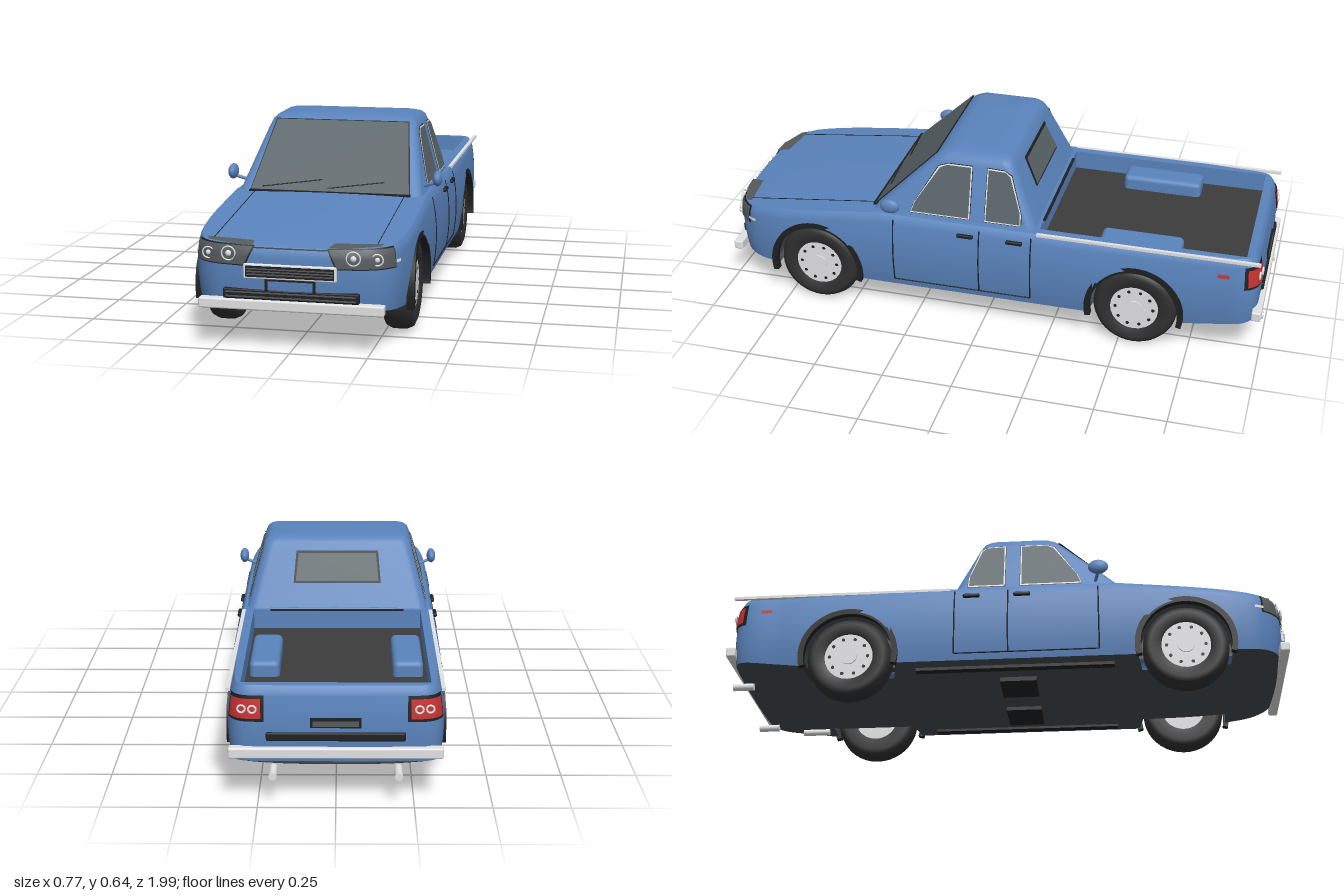
import * as THREE from 'three';
import { toCreasedNormals } from 'three/addons/utils/BufferGeometryUtils.js';
import { RoundedBoxGeometry } from 'three/addons/geometries/RoundedBoxGeometry.js';
import { ParametricGeometry } from 'three/addons/geometries/ParametricGeometry.js';

const V = (x, y, z) => new THREE.Vector3(x, y, z);
const lerp = THREE.MathUtils.lerp;
const mat = (name, color) => Object.assign(
  new THREE.MeshStandardMaterial({ color, side: THREE.DoubleSide }), { name });

const WHEEL_Z = [0.63, -0.555], ARCH = 0.165, AXLE_Y = 0.15, BED_Z = -0.195, BED_Y = 0.325;

// Half outline of the body seen from above, rear centre to front centre
const plan = new THREE.CatmullRomCurve3([
  [0, -0.985], [0.2, -0.983], [0.3, -0.975], [0.335, -0.94], [0.35, -0.8], [0.362, -0.5], [0.363, 0],
  [0.363, 0.4], [0.358, 0.7], [0.345, 0.82], [0.32, 0.9], [0.27, 0.95], [0.18, 0.974], [0, 0.982],
].map(([x, z]) => V(x, 0, z)));

const topY = z => (z < 0.4 ? 0.4 : 0.4 - 0.066 * (z - 0.4) / 0.58);
const sillY = z => (z > 0.5 ? 0.115 + 0.025 * ((z - 0.5) / 0.48) ** 2
  : z < -0.7 ? 0.115 + 0.035 * (-0.7 - z) / 0.28 : 0.115);
const inArch = z => WHEEL_Z.some(w => Math.abs(z - w) < 0.16);
function lowY(z) {
  for (const w of WHEEL_Z) {
    const d = Math.abs(z - w);
    if (d < ARCH) return Math.max(sillY(z), AXLE_Y + Math.sqrt(ARCH * ARCH - d * d));
  }
  return sillY(z);
}

// Point on the body skin: bulged at mid height and rounded at the top edge
function skin(t, y, off = 0) {
  const p = plan.getPoint(t), d = plan.getTangent(t);
  const edge = Math.max(0, (y - topY(p.z) + 0.03) / 0.03);
  const k = off - 0.018 * ((y - 0.25) / 0.15) ** 2 - 0.008 * edge * edge;
  return V(p.x + d.z * k * Math.min(1, p.x / 0.1), y, p.z - d.x * k);
}
function solve(test, a, b) {
  for (let i = 0; i < 30; i++) { const m = (a + b) / 2; if (test(m)) a = m; else b = m; }
  return a;
}
const atZ = z => solve(t => plan.getPoint(t).z < z, 0, 1);
const atX = (x, front) => (front
  ? solve(t => plan.getPoint(t).x > x, 0.55, 1) : solve(t => plan.getPoint(t).x < x, 0, 0.3));
const sidePt = (z, y, off) => skin(atZ(z), y, off);
function endPt(x, y, front, off) {
  const p = skin(atX(Math.abs(x), front), y, off);
  if (x < 0) p.x *= -1;
  return p;
}
const surface = (fn, nu, nv) => new ParametricGeometry((u, v, o) => o.copy(fn(u, v)), nu, nv);
// Thin patch over four corners [a, y]: low start, low end, high start, high end
const patch = (c, point, n = 14) => surface((u, v) => point(
  lerp(lerp(c[0][0], c[1][0], u), lerp(c[2][0], c[3][0], u), v),
  lerp(lerp(c[0][1], c[1][1], u), lerp(c[2][1], c[3][1], u), v)), n, 4);
const rect = (x0, x1, y0, y1) => [[x0, y0], [x1, y0], [x0, y1], [x1, y1]];
function plate(pts, map) {
  const g = new THREE.ShapeGeometry(new THREE.Shape(pts.map(p => new THREE.Vector2(...p))));
  const a = g.attributes.position;
  for (let i = 0; i < a.count; i++) a.setXYZ(i, ...map(a.getX(i), a.getY(i)).toArray());
  g.computeVertexNormals();
  return g;
}
function grow(pts, d) {
  const n = pts.length, cx = pts.reduce((s, p) => s + p[0], 0) / n, cy = pts.reduce((s, p) => s + p[1], 0) / n;
  return pts.map(([x, y]) => [x + Math.sign(x - cx) * d, y + Math.sign(y - cy) * d]);
}
const line = (pts, r = 0.0025) => new THREE.TubeGeometry(new THREE.CatmullRomCurve3(pts, false, 'catmullrom', 0.1), 24, r, 6);
const box = (w, h, d, x, y, z, r = 0) => (r ? new RoundedBoxGeometry(w, h, d, 3, r) : new THREE.BoxGeometry(w, h, d)).translate(x, y, z);
const rod = (r, len, x, y, z, axis) => {
  const g = new THREE.CylinderGeometry(r, r, len, 24);
  if (axis === 'x') g.rotateZ(-Math.PI / 2); else g.rotateX(Math.PI / 2);
  return g.translate(x, y, z);
};

export function createModel() {
  const truck = new THREE.Group();
  truck.name = 'pickupTruck';
  const blue = mat('bodyBlue', 0x5a84bd), black = mat('trimBlack', 0x1f2021), chrome = mat('chrome', 0xe2e2e4),
    red = mat('lampRed', 0xc83232), glass = mat('glass', 0x5a6468), grey = mat('bedGrey', 0x3c3c3c),
    tyre = mat('tyreRubber', 0x303030), under = mat('underbody', 0x454c50), lamp = mat('lampHousing', 0x565b5e);
  const add = (name, g, m) => {
    const mesh = new THREE.Mesh(g, m); mesh.name = name; truck.add(mesh);
  };
  // Adds a part on the left and its mirror image on the right
  const both = (name, g, m) => {
    add(name + 'Left', g, m);
    const f = (g.index ? g.toNonIndexed() : g.clone()).scale(-1, 1, 1);
    for (const a of Object.values(f.attributes)) for (let i = 0; i < a.count; i += 3) for (let k = 0; k < a.itemSize; k++) {
      const s = a.getComponent(i, k); a.setComponent(i, k, a.getComponent(i + 1, k)); a.setComponent(i + 1, k, s);
    }
    add(name + 'Right', f, m);
  };

  // Body skin, hood deck and bed walls
  const tb = atZ(BED_Z);
  const rim = t => skin(t, topY(plan.getPoint(t).z));
  const inner = (t, y) => { const p = rim(t); return V(Math.min(p.x, 0.3), y, Math.max(p.z, -0.93)); };
  both('bodySide', surface((u, v) => {
    const z = plan.getPoint(1 - u).z;
    return skin(1 - u, lerp(lowY(z), topY(z), v));
  }, 300, 16), blue);
  both('hood', surface((u, v) => {
    const p = rim(lerp(1, tb, u));
    p.y += 0.008 * (1 - (1 - v) ** 2) * (p.x / 0.36) ** 2;
    p.x *= 1 - v;
    return p;
  }, 120, 10), blue);
  both('bedRail', surface((u, v) => rim(tb * (1 - u)).lerp(inner(tb * (1 - u), 0.4), v), 80, 1), blue);
  both('bedWall', surface((u, v) => inner(tb * (1 - u), lerp(0.4, BED_Y, v)), 80, 1), blue);
  // Belly, sagging slightly towards the middle
  both('underside', surface((u, v) => {
    const p = plan.getPoint(1 - u), e = skin(1 - u, sillY(p.z));
    const s = inArch(p.z) ? Math.min(1, 0.23 / e.x) * v : v;
    return V(e.x * s, e.y - 0.012 * (1 - s ** 3) * Math.min(1, e.x / 0.3), e.z);
  }, 300, 8), under);
  add('bedFloor', box(0.6, 0.01, 0.74, 0, BED_Y, -0.56), grey);
  add('bedBulkhead', box(0.62, 0.08, 0.01, 0, 0.36, BED_Z), blue);
  add('bedSeam', box(0.48, 0.004, 0.01, 0, 0.4, -0.202), black);
  both('bedWheelBox', box(0.1, 0.075, 0.29, 0.237, 0.345, -0.555, 0.018), blue);
  both('railStrip', box(0.013, 0.01, 0.785, 0.336, 0.396, -0.59), chrome);
  both('sillStrip', box(0.03, 0.012, 0.7, 0.29, 0.106, 0.03), black);
  both('underPlate', box(0.15, 0.02, 0.13, 0.135, 0.1, 0.035), black);

  // Cab, lofted from rounded rings: [y, half width, front z, rear z]
  const rings = [[0.39, 0.327, 0.425, -0.195], [0.42, 0.319, 0.395, -0.18], [0.6, 0.27, 0.21, -0.1], [0.622, 0.262, 0.187, -0.088],
    [0.634, 0.25, 0.168, -0.075], [0.64, 0.23, 0.145, -0.055], [0.643, 0.12, 0.09, 0], [0.643, 0, 0.05, 0.05]];
  const steps = 7, ring = 4 * steps, cabPos = [], cabIdx = [];
  rings.forEach(([y, w, zf, zr], j) => {
    const c = (zf + zr) / 2, h = (zf - zr) / 2, r = Math.min(0.034, h * 0.6, w * 0.6);
    for (let i = 0; i < ring; i++) {
      const q = Math.floor(i / steps), a = (q + (i % steps) / (steps - 1)) * Math.PI / 2;
      const sx = q === 0 || q === 3 ? 1 : -1, sz = q < 2 ? 1 : -1;
      cabPos.push(sx * (w - r) + r * Math.cos(a), y, c + sz * (h - r) + r * Math.sin(a));
      const p = j * ring + i, n = j * ring + (i + 1) % ring;
      if (j < rings.length - 1) cabIdx.push(p, p + ring, n, n, p + ring, n + ring);
    }
  });
  const cab = new THREE.BufferGeometry();
  cab.setAttribute('position', new THREE.Float32BufferAttribute(cabPos, 3));
  cab.setIndex(cabIdx);
  add('cab', toCreasedNormals(cab, 0.6), blue);

  // Windows with their frames
  const side = off => (z, y) => V(0.3245 - (y - 0.4) * 0.272 + off, y, z);
  const windscreen = off => (x, y) => V(x, y + off * 0.7, 0.4155 - (y - 0.4) * 1.028 + off * 0.7);
  const rear = off => (x, y) => V(x, y, -0.189 + (y - 0.4) * 0.444 - off);
  const frontWin = [[0.268, 0.418], [0.255, 0.455], [0.17, 0.585], [0.145, 0.597], [0.056, 0.597], [0.056, 0.418]];
  const rearWin = [[-0.008, 0.418], [-0.008, 0.597], [-0.07, 0.595], [-0.088, 0.58], [-0.13, 0.46], [-0.132, 0.418]];
  for (const [n, w] of [['frontWindow', frontWin], ['rearWindow', rearWin]]) {
    both(n + 'Seal', plate(grow(w, 0.0065), side(0.002)), black);
    both(n + 'Frame', plate(grow(w, 0.0045), side(0.0035)), chrome);
    both(n, plate(w, side(0.005)), glass);
  }
  const screen = [[-0.28, 0.403], [0.28, 0.403], [0.239, 0.62], [-0.239, 0.62]];
  add('windscreenSeal', plate(grow(screen, 0.004), windscreen(0.003)), black);
  add('windscreen', plate(screen, windscreen(0.006)), glass);
  const back = [[-0.15, 0.495], [0.15, 0.495], [0.14, 0.588], [-0.14, 0.588]];
  add('backWindowSeal', plate(grow(back, 0.008), rear(0.004)), black);
  add('backWindow', plate(back, rear(0.008)), glass);
  add('cowl', box(0.57, 0.008, 0.02, 0, 0.402, 0.415), black);
  for (const [a, b] of [[[-0.24, 0.41], [-0.03, 0.436]], [[-0.01, 0.41], [0.19, 0.434]]])
    add('wiper', line([windscreen(0.01)(...a), windscreen(0.01)(...b)], 0.002), black);

  // Seams, handles and mirrors
  for (const z of [0.33, 0.01, -0.18])
    both('doorSeam', line([0.14, 0.2, 0.26, 0.33, 0.385].map(y => sidePt(z, y, 0.001))), black);
  both('doorBottomSeam', line([0.33, 0.1, -0.18].map(z => sidePt(z, 0.14, 0.001))), black);
  both('hoodSeam', line([0.41, 0.6, 0.8, 0.91].map(z => V(0.265, topY(z) + 0.0035, z)), 0.0014), black);
  for (const z of [0.06, -0.12]) both('doorHandle', box(0.014, 0.014, 0.06, 0.357, 0.362, z, 0.005), black);
  both('mirror', new THREE.SphereGeometry(1, 24, 16).scale(0.017, 0.027, 0.036).translate(0.367, 0.452, 0.333), blue);
  both('mirrorArm', line([V(0.31, 0.42, 0.32), V(0.365, 0.438, 0.333)], 0.006), blue);

  // Front: lamps, grille, bumper
  const nose = off => (x, y) => endPt(x, y, true, off);
  const lampShape = [[0.15, 0.277], [0.318, 0.276], [0.122, 0.335], [0.318, 0.336]];
  both('headlampSeal', patch([[0.146, 0.273], [0.321, 0.272], [0.116, 0.337], [0.321, 0.34]], nose(0.003)), black);
  both('headlamp', patch(lampShape, nose(0.006)), lamp);
  both('headlampTop', plate([[0.12, 0.972], [0.13, 0.925], [0.285, 0.905], [0.28, 0.93], [0.19, 0.965]],
    (x, z) => V(x, topY(z) + 0.004, z)), lamp);
  for (const [x, y, r] of [[0.2, 0.31, 0.022], [0.27, 0.305, 0.018]]) {
    const p = nose(0.008)(x, y);
    both('headlampRing', new THREE.TorusGeometry(r, 0.0025, 8, 28).translate(...p.toArray()), chrome);
    both('headlampBulb', new THREE.SphereGeometry(r * 0.45, 16, 12).scale(1, 1, 0.6).translate(...p.toArray()), chrome);
  }
  add('grilleFrame', box(0.3, 0.048, 0.02, 0, 0.258, 0.978, 0.004), chrome);
  add('grille', box(0.285, 0.036, 0.006, 0, 0.258, 0.986), black);
  for (const y of [0.249, 0.258, 0.267]) add('grilleBar', box(0.28, 0.004, 0.006, 0, y, 0.988), lamp);
  add('hoodLip', patch(rect(-0.12, 0.12, 0.329, 0.333), nose(0.003)), black);
  both('plateBracket', box(0.008, 0.042, 0.012, 0.077, 0.215, 0.979), black);
  add('plateBracketTop', box(0.16, 0.006, 0.012, 0, 0.231, 0.979), black);
  add('lowerGrille', box(0.44, 0.034, 0.03, 0, 0.181, 0.966, 0.006), black);
  for (const y of [0.174, 0.188]) add('lowerGrilleBar', box(0.42, 0.004, 0.006, 0, y, 0.982), lamp);
  add('frontBumper', box(0.6, 0.034, 0.034, 0, 0.148, 0.972, 0.006), chrome);
  both('sideIndicator', patch(rect(0.875, 0.91, 0.287, 0.297), (z, y) => sidePt(z, y, 0.003), 4), chrome);

  // Rear: lamps, trim bar, bumper, exhaust pipes
  const tail = off => (x, y) => endPt(x, y, false, off);
  both('tailLampSeal', patch(rect(0.226, 0.338, 0.288, 0.372), tail(0.003)), black);
  both('tailLamp', patch(rect(0.236, 0.333, 0.298, 0.362), tail(0.006)), red);
  for (const x of [0.262, 0.295])
    both('tailLampRing', new THREE.TorusGeometry(0.012, 0.0035, 8, 24).translate(...tail(0.009)(x, 0.33).toArray()), chrome);
  both('rearMarker', patch(rect(-0.88, -0.84, 0.329, 0.342), (z, y) => sidePt(z, y, 0.003), 4), red);
  add('tailgateBar', box(0.44, 0.028, 0.016, 0, 0.238, -0.984, 0.005), black);
  add('plateHolder', box(0.16, 0.032, 0.01, 0, 0.285, -0.985), black);
  add('plateHolderPanel', box(0.145, 0.018, 0.004, 0, 0.283, -0.99), lamp);
  add('rearBumper', box(0.68, 0.036, 0.034, 0, 0.185, -0.982, 0.006), chrome);
  both('exhaustTip', rod(0.013, 0.075, 0.2, 0.106, -0.962, 'z'), chrome);
  add('exhaustPipe', rod(0.012, 0.1, 0.22, 0.09, -0.78, 'z'), chrome);

  // Wheels, arch flares and wheel wells
  const tread = [[0.08, -0.045], [0.125, -0.049], [0.141, -0.042], [0.15, -0.022], [0.15, 0.022], [0.141, 0.042],
    [0.125, 0.049], [0.088, 0.045], [0.084, 0.03]].map(p => new THREE.Vector2(...p));
  const arc = new THREE.Shape();
  arc.absarc(0, 0, 0.177, -0.24, Math.PI + 0.24, false);
  arc.absarc(0, 0, 0.157, Math.PI + 0.24, -0.24, true);
  // The flare leans in towards its top, following the fender
  const flare = new THREE.ExtrudeGeometry(arc, { depth: 0.025, bevelEnabled: false, curveSegments: 32 })
    .rotateY(Math.PI / 2).translate(0.34, AXLE_Y, 0);
  const fp = flare.attributes.position;
  for (let i = 0; i < fp.count; i++) fp.setX(i, fp.getX(i) - 0.07 * Math.max(0, fp.getY(i) - 0.22));
  for (const z of WHEEL_Z) {
    both('tyre', new THREE.LatheGeometry(tread, 40).rotateZ(-Math.PI / 2).translate(0.297, AXLE_Y, z), tyre);
    both('wheelDisc', rod(0.086, 0.08, 0.298, AXLE_Y, z, 'x'), chrome);
    both('hubCap', rod(0.03, 0.008, 0.339, AXLE_Y, z, 'x'), chrome);
    for (let i = 0; i < 10; i++) {
      const a = i * Math.PI / 5;
      both('wheelVent', rod(0.006, 0.004, 0.337, AXLE_Y + 0.068 * Math.sin(a), z + 0.068 * Math.cos(a), 'x'), black);
    }
    both('archFlare', flare.clone().translate(0, 0, z), black);
    both('wheelWell', new THREE.CylinderGeometry(ARCH, ARCH, 0.13, 32, 1, true, 0, Math.PI)
      .rotateZ(Math.PI / 2).translate(0.29, AXLE_Y, z), under);
    both('wellWall', new THREE.CircleGeometry(ARCH, 32, 0, Math.PI).rotateY(Math.PI / 2).translate(0.228, AXLE_Y, z), under);
  }
  return truck;
}
